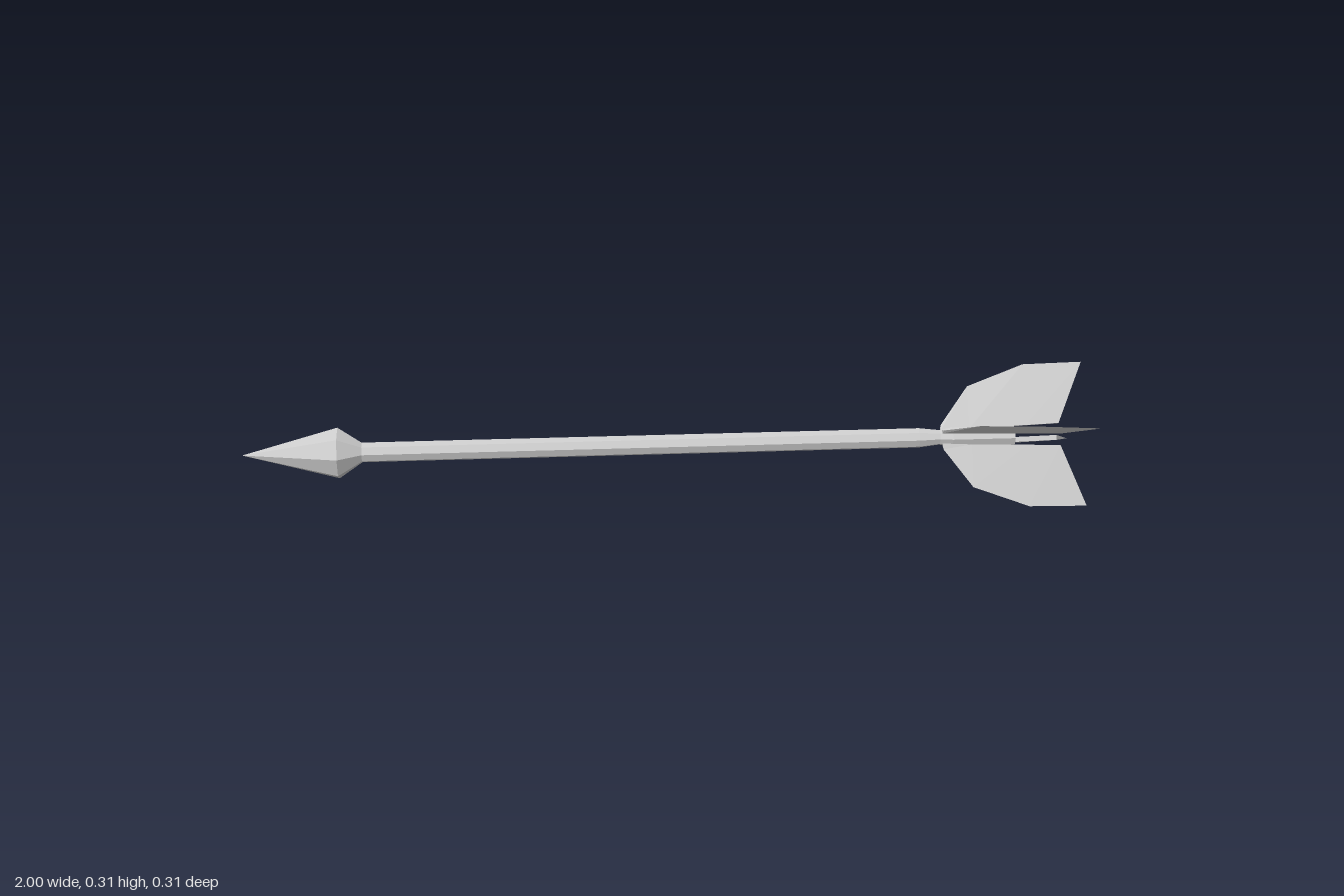
import * as THREE from 'three';

const AXIS_Y = 0.154;

// Eight-sided body turned around the x axis from [x, radius] pairs
function turned(name, profile, material) {
  const points = profile.map(([x, r]) => new THREE.Vector2(r, x));
  const geometry = new THREE.LatheGeometry(points, 8, THREE.MathUtils.degToRad(-7.5));
  geometry.rotateZ(-Math.PI / 2);
  const mesh = new THREE.Mesh(geometry, material);
  mesh.name = name;
  return mesh;
}

// Swept fin: thick along the root, sharp along the outer edge, slightly twisted
function finGeometry() {
  // root x, root radius, root offset, half thickness, outer x, outer radius, outer offset
  const stations = [
    [0.655, 0.016, -0.012, 0.004, 0.657, 0.03, -0.014],
    [0.725, 0.02, -0.011, 0.006, 0.725, 0.122, -0.016],
    [0.86, 0.024, -0.008, 0.006, 0.86, 0.171, -0.008],
    [0.94, 0.027, -0.006, 0.006, 1.0, 0.173, 0],
  ];
  const positions = [];
  const index = [];
  stations.forEach(([rx, rr, rq, t, ox, or, oq], i) => {
    positions.push(rx, rr, rq + t, ox, or, oq, rx, rr, rq - t);
    if (i === 0) return;
    const a = (i - 1) * 3, b = i * 3;
    for (let k = 0; k < 3; k++) {
      const n = (k + 1) % 3;
      index.push(a + k, b + k, b + n, a + k, b + n, a + n);
    }
  });
  const last = (stations.length - 1) * 3;
  index.push(0, 1, 2, last, last + 2, last + 1);
  const geometry = new THREE.BufferGeometry();
  geometry.setAttribute('position', new THREE.Float32BufferAttribute(positions, 3));
  geometry.setIndex(index);
  geometry.computeVertexNormals();
  return geometry;
}

export function createModel() {
  const model = new THREE.Group();
  model.name = 'arrow';
  const material = new THREE.MeshStandardMaterial({
    color: 0xcccccc, flatShading: true, side: THREE.DoubleSide,
  });

  const arrow = new THREE.Group();
  arrow.name = 'arrowBody';
  arrow.position.y = AXIS_Y;
  model.add(arrow);

  // Pointed head with a short shoulder behind it
  arrow.add(turned('head', [[-1, 0], [-0.775, 0.062], [-0.72, 0.024]], material));

  // Shaft with a narrow neck before the tail
  arrow.add(turned('shaft', [
    [-0.72, 0.024], [0.6, 0.024], [0.65, 0.018], [0.68, 0.024], [0.83, 0.024], [0.83, 0],
  ], material));

  // Four fins around the tail
  const fin = finGeometry();
  for (let i = 0; i < 4; i++) {
    const mesh = new THREE.Mesh(fin, material);
    mesh.name = `fin${i + 1}`;
    mesh.rotation.x = THREE.MathUtils.degToRad(-27.4 + i * 90);
    arrow.add(mesh);
  }
  return model;
}
